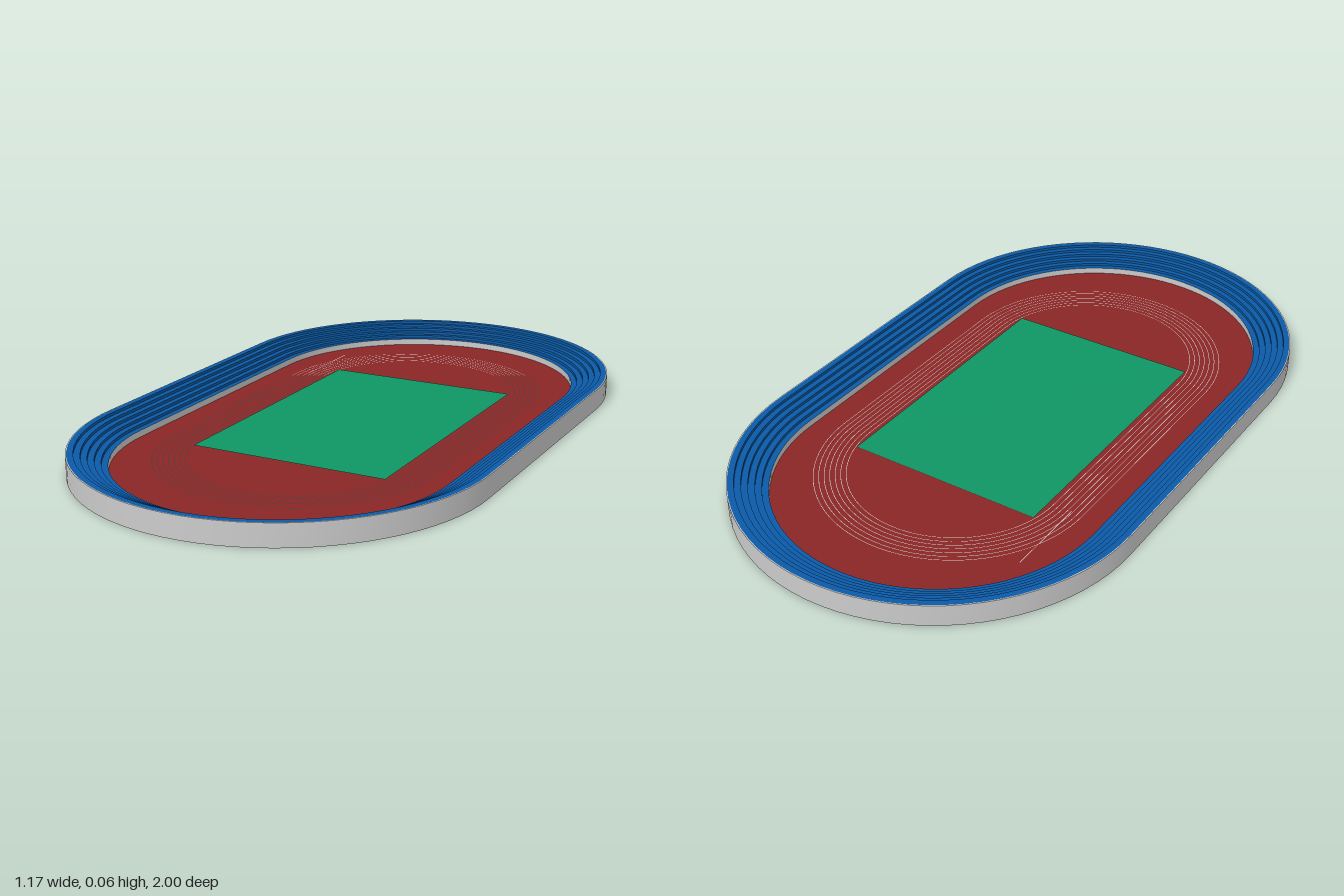
import * as THREE from 'three';

const STRAIGHT = 0.417;            // half length of the straight sides
const R_OUT = 0.583, R_IN = 0.474; // end radii of outer wall and field
const WALL_TOP = 0.063, STAND_FOOT = 0.021, FLOOR = 0.002;
const STEPS = 6, ARC = 40;

const paint = (color) => new THREE.MeshStandardMaterial({ color, side: THREE.DoubleSide });

// Plan outline: two half circles joined by straights
function oval(radius, half) {
  const pts = [];
  for (let end = 0; end < 2; end++) {
    for (let i = 0; i <= ARC; i++) {
      const a = Math.PI * (end + i / ARC);
      pts.push(new THREE.Vector2(radius * Math.cos(a), radius * Math.sin(a) + (end ? -half : half)));
    }
  }
  return pts;
}

// Sweeps a profile of [radius, y] around the oval, with a crease at every profile point
function sweep(profile, half) {
  const pos = [], idx = [];
  for (let k = 0; k + 1 < profile.length; k++) {
    const base = pos.length / 3;
    const [lo, hi] = [profile[k], profile[k + 1]];
    const a = oval(lo[0], half), b = oval(hi[0], half), n = a.length;
    for (let i = 0; i < n; i++) {
      pos.push(a[i].x, lo[1], a[i].y, b[i].x, hi[1], b[i].y);
      const p = base + 2 * i, q = base + 2 * ((i + 1) % n);
      idx.push(p, p + 1, q, q, p + 1, q + 1);
    }
  }
  const g = new THREE.BufferGeometry();
  g.setAttribute('position', new THREE.Float32BufferAttribute(pos, 3));
  g.setIndex(idx);
  g.computeVertexNormals();
  return g;
}

export function createModel() {
  const group = new THREE.Group();
  const grey = paint(0xcccccc), blue = paint(0x0a5aa6), red = paint(0x8b2626);
  const green = paint(0x0f9565), white = paint(0xf2f2f2);

  const add = (name, geometry, material) => {
    const mesh = new THREE.Mesh(geometry, material);
    mesh.name = name;
    group.add(mesh);
    return mesh;
  };

  // Outer and inner walls, open underneath
  add('outerWall', sweep([[R_OUT, 0], [R_OUT, WALL_TOP], [R_OUT - 0.003, WALL_TOP]], STRAIGHT), grey);
  add('innerWall', sweep([[R_IN, STAND_FOOT], [R_IN, 0]], STRAIGHT), grey);

  // Stepped seating, from the rim down to the inner wall
  const stand = [[R_OUT - 0.003, WALL_TOP]];
  const tread = (R_OUT - 0.003 - R_IN) / STEPS, riser = (WALL_TOP - STAND_FOOT) / (STEPS - 1);
  for (let i = 1; i <= STEPS; i++) {
    const r = R_OUT - 0.003 - i * tread;
    stand.push([r, WALL_TOP - (i - 1) * riser]);
    if (i < STEPS) stand.push([r, WALL_TOP - i * riser]);
  }
  add('seating', sweep(stand, STRAIGHT), blue);

  // Running surface and pitch
  const floor = new THREE.ShapeGeometry(new THREE.Shape(oval(R_IN, STRAIGHT)));
  add('runningSurface', floor.rotateX(-Math.PI / 2).translate(0, FLOOR, 0), red);
  const pitch = new THREE.PlaneGeometry(0.592, 0.852).rotateX(-Math.PI / 2);
  add('pitch', pitch.translate(0, FLOOR + 0.003, -0.003), green);

  // Lane lines with an extended sprint straight
  for (let i = 0; i < 7; i++) {
    const r = 0.31 + i * 0.015;
    add('laneLine', sweep([[r + 0.0008, FLOOR + 0.0015], [r - 0.0008, FLOOR + 0.0015]], 0.35), white);
  }
  const sprint = new THREE.PlaneGeometry(0.002, 0.25).rotateX(-Math.PI / 2);
  add('sprintLine', sprint.translate(-0.365, FLOOR + 0.0015, -0.475), white);

  return group;
}
